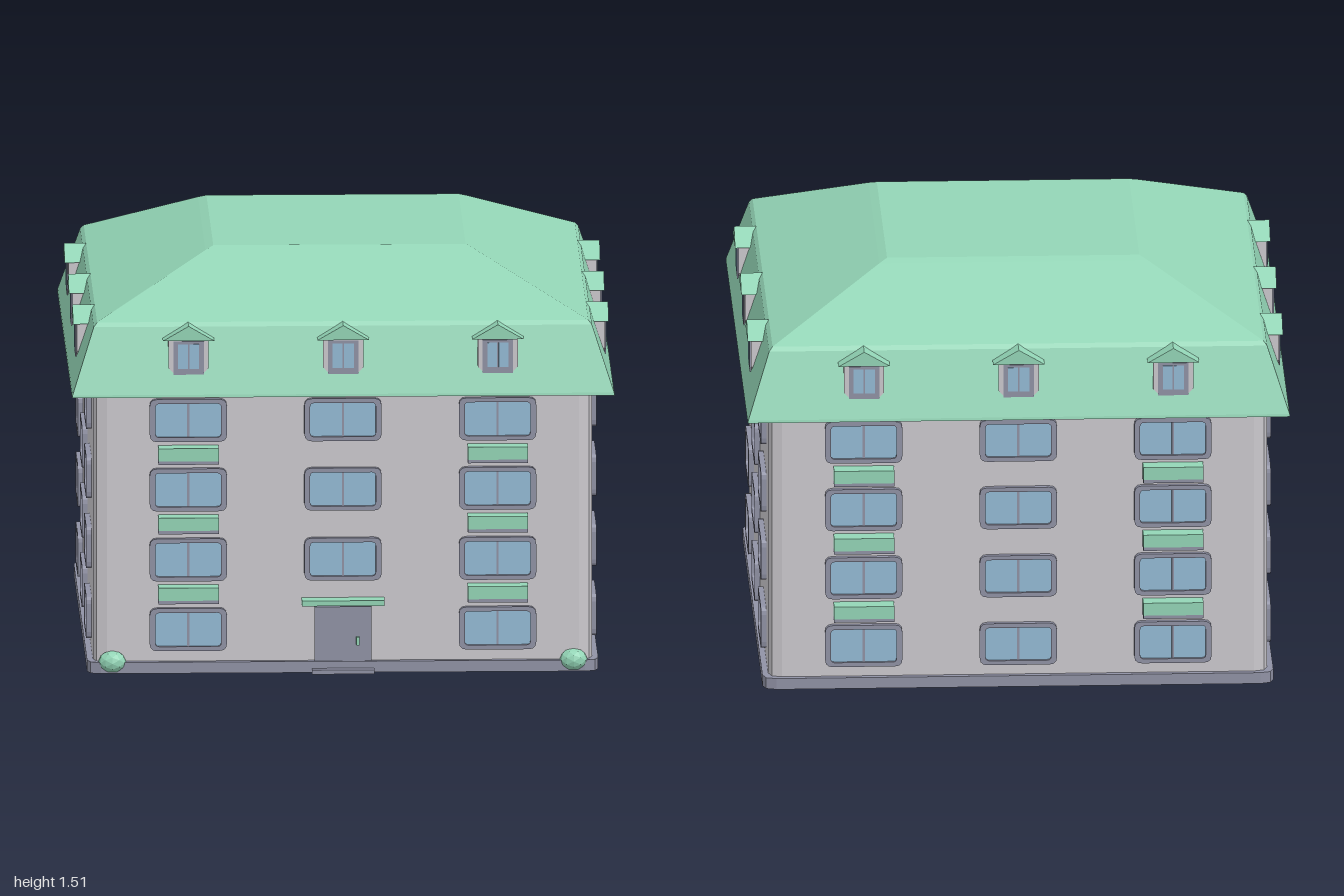
import * as THREE from 'three';

const mat = (name, color, extra = {}) => {
  const m = new THREE.MeshStandardMaterial({ color, ...extra });
  m.name = name;
  return m;
};

// Rounded rectangle outline centred on the origin
function roundRect(w, h, r, Target = THREE.Shape) {
  const s = new Target(), x = w / 2, y = h / 2;
  s.moveTo(-x + r, -y);
  s.lineTo(x - r, -y); s.quadraticCurveTo(x, -y, x, -y + r);
  s.lineTo(x, y - r); s.quadraticCurveTo(x, y, x - r, y);
  s.lineTo(-x + r, y); s.quadraticCurveTo(-x, y, -x, y - r);
  s.lineTo(-x, -y + r); s.quadraticCurveTo(-x, -y, -x + r, -y);
  return s;
}

const extrude = (shape, depth, curveSegments = 3) =>
  new THREE.ExtrudeGeometry(shape, { depth, bevelEnabled: false, curveSegments });

export function createModel() {
  const wall = mat('wall grey', 0xcbc9ce);
  const trim = mat('trim slate', 0x9092a5);
  const glass = mat('window blue', 0x93bad5);
  const green = mat('roof green', 0x93d5b6);
  const WALL = 0.92;
  const model = new THREE.Group();
  model.name = 'apartmentBuilding';

  const add = (parent, name, geo, material, x = 0, y = 0, z = 0) => {
    const m = new THREE.Mesh(geo, material);
    m.name = name;
    m.position.set(x, y, z);
    parent.add(m);
    return m;
  };
  const box = (parent, name, material, w, h, d, x, y, z) =>
    add(parent, name, new THREE.BoxGeometry(w, h, d), material, x, y, z);

  // Walls and plinth: rounded squares extruded upwards
  const slab = (half, r, h) => extrude(roundRect(half * 2, half * 2, r), h, 2).rotateX(-Math.PI / 2);
  add(model, 'walls', slab(WALL, 0.05, 1.06), wall);
  add(model, 'plinth', slab(0.942, 0.05, 0.042), trim, 0, 0.002, 0);

  // Mansard roof: four-sided lathe with softened edges
  const profile = [[0, 1.05], [1, 1.05], [0.998, 1.06], [0.918, 1.3], [0.905, 1.315],
    [0.495, 1.502], [0.465, 1.514], [0, 1.514]];
  const roofGeo = new THREE.LatheGeometry(
    profile.map(([r, y]) => new THREE.Vector2(r * Math.SQRT2, y)), 4, Math.PI / 4).toNonIndexed();
  roofGeo.computeVertexNormals();
  add(model, 'mansardRoof', roofGeo, green);

  // Shared window geometry
  const frameShape = roundRect(0.285, 0.16, 0.028);
  frameShape.holes.push(roundRect(0.242, 0.127, 0.014, THREE.Path));
  const frameGeo = extrude(frameShape, 0.03);
  const paneGeo = new THREE.BoxGeometry(0.246, 0.131, 0.009);
  const mullionGeo = new THREE.BoxGeometry(0.008, 0.127, 0.012);

  function addWindow(parent, x, y) {
    const g = new THREE.Group();
    g.name = 'window';
    g.position.set(x, y, WALL);
    add(g, 'windowFrame', frameGeo, trim, 0, 0, -0.01);
    add(g, 'windowPane', paneGeo, glass, 0, 0, 0.004);
    add(g, 'windowMullion', mullionGeo, trim, 0, 0, 0.007);
    parent.add(g);
  }

  // Dormer with a gabled cap and a two-pane window
  const gable = new THREE.Shape([[-0.095, 0], [0.095, 0], [0, 0.055]].map(p => new THREE.Vector2(...p)));
  const gableGeo = extrude(gable, 0.125);
  const cheeks = new THREE.Shape([[-0.05, 0], [0.05, 0], [0.074, 0.025], [0.074, 0.13], [-0.074, 0.13], [-0.074, 0.025]]
    .map(p => new THREE.Vector2(...p)));
  const cheeksGeo = extrude(cheeks, 0.115);

  function addDormer(parent, x) {
    const g = new THREE.Group();
    g.name = 'dormer';
    g.position.set(x, 1.13, 0);
    add(g, 'dormerCap', gableGeo, green, 0, 0.13, 0.862);
    add(g, 'dormerWalls', cheeksGeo, wall, 0, 0, 0.858);
    box(g, 'dormerFrame', trim, 0.112, 0.125, 0.008, 0, 0.064, 0.974);
    for (const s of [-1, 1]) box(g, 'dormerPane', glass, 0.036, 0.092, 0.004, s * 0.021, 0.07, 0.978);
    parent.add(g);
  }

  const columns = [-0.57, 0, 0.57];
  const rows = [0.165, 0.427, 0.69, 0.951];
  const sideNames = ['frontSide', 'leftSide', 'backSide', 'rightSide'];

  // Four facades; the front and back carry balconies
  sideNames.forEach((name, k) => {
    const side = new THREE.Group();
    side.name = name;
    side.rotation.y = k * Math.PI / 2;
    model.add(side);
    for (const x of columns) {
      addDormer(side, x);
      rows.forEach((y, i) => {
        const isDoor = k === 0 && x === 0 && i === 0;
        if (!isDoor) addWindow(side, x, y);
        if (k % 2 === 0 && x !== 0 && i > 0) {
          box(side, 'balconyFront', green, 0.222, 0.048, 0.075, x, y - 0.12, 0.9475);
          box(side, 'balconyFloor', trim, 0.222, 0.013, 0.073, x, y - 0.1505, 0.9465);
        }
      });
    }
  });

  // Entrance
  box(model, 'door', trim, 0.21, 0.235, 0.03, 0, 0.13, 0.92);
  box(model, 'doorHandle', green, 0.012, 0.03, 0.018, 0.055, 0.12, 0.943);
  box(model, 'doorCanopy', green, 0.305, 0.02, 0.08, 0, 0.27, 0.945);
  box(model, 'doorStep', trim, 0.23, 0.016, 0.07, 0, 0.01, 0.94);

  // Corner shrubs
  for (const s of [-1, 1]) {
    const shrub = add(model, 'shrub', new THREE.IcosahedronGeometry(0.052, 1).toNonIndexed(), green, s * 0.85, 0.043, 0.925);
    shrub.geometry.computeVertexNormals();
    shrub.scale.set(1, 0.8, 0.8);
  }
  return model;
}
